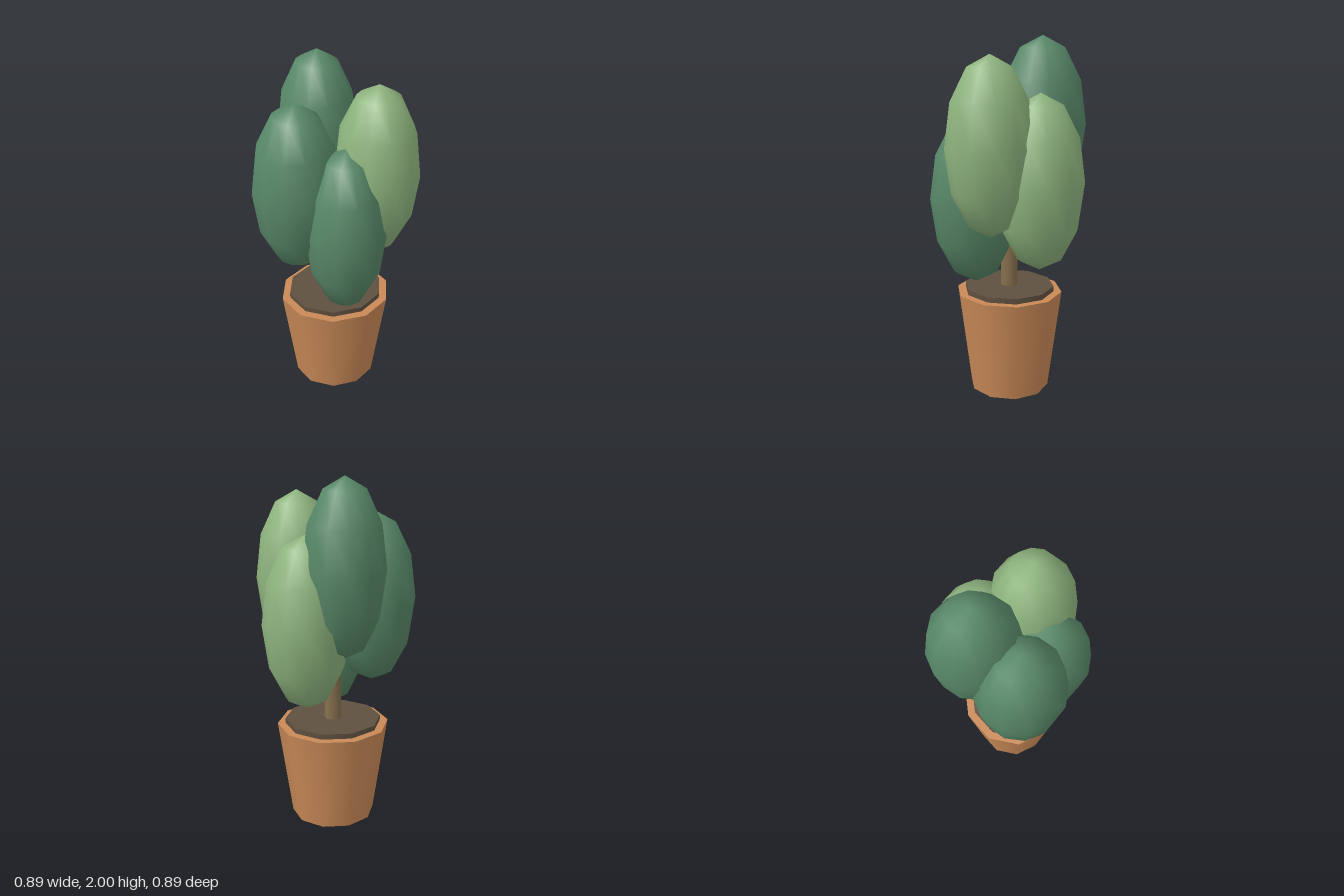
import * as THREE from 'three';

export function createModel() {
  const group = new THREE.Group();
  const mat = (name, color) => {
    const m = new THREE.MeshStandardMaterial({ color });
    m.name = name;
    return m;
  };
  const terracotta = mat('terracotta', 0xc98a57);
  const soil = mat('soil', 0x5f503f);
  const bark = mat('bark', 0x87704e);
  const darkLeaf = mat('dark leaf', 0x588868);
  const lightLeaf = mat('light leaf', 0x8eb47e);

  // Upright tapered drum, oval in plan, with corners pointing along x
  const drum = (name, material, top, bottom, y0, y1, sides, depth) => {
    const geo = new THREE.CylinderGeometry(top, bottom, y1 - y0, sides);
    geo.rotateY(Math.PI / 2);
    geo.scale(1, 1, depth);
    const mesh = new THREE.Mesh(geo, material);
    mesh.name = name;
    mesh.position.set(0.022, (y0 + y1) / 2, 0);
    group.add(mesh);
  };
  drum('pot', terracotta, 0.323, 0.243, 0, 0.575, 10, 0.935);
  drum('soil', soil, 0.277, 0.277, 0.54, 0.605, 10, 0.925);
  drum('trunk', bark, 0.046, 0.049, 0.59, 1.25, 8, 1);

  // Foliage clumps: name, material, centre, radii in x and z
  const clumps = [
    ['frontFoliage', darkLeaf, [0.02, 1.115, 0.19], 0.222, 0.252],
    ['rightFoliage', darkLeaf, [-0.202, 1.315, 0.015], 0.243, 0.253],
    ['backFoliage', darkLeaf, [-0.025, 1.515, -0.192], 0.225, 0.252],
    ['frontLeftFoliage', lightLeaf, [0.21, 1.415, 0.128], 0.231, 0.242],
    ['backLeftFoliage', lightLeaf, [0.176, 1.215, -0.147], 0.24, 0.25],
  ];
  for (const [name, material, centre, rx, rz] of clumps) {
    const geo = new THREE.SphereGeometry(1, 12, 6);
    geo.scale(rx, 0.485, rz);
    const mesh = new THREE.Mesh(geo, material);
    mesh.name = name;
    mesh.position.set(...centre);
    group.add(mesh);
  }
  return group;
}
